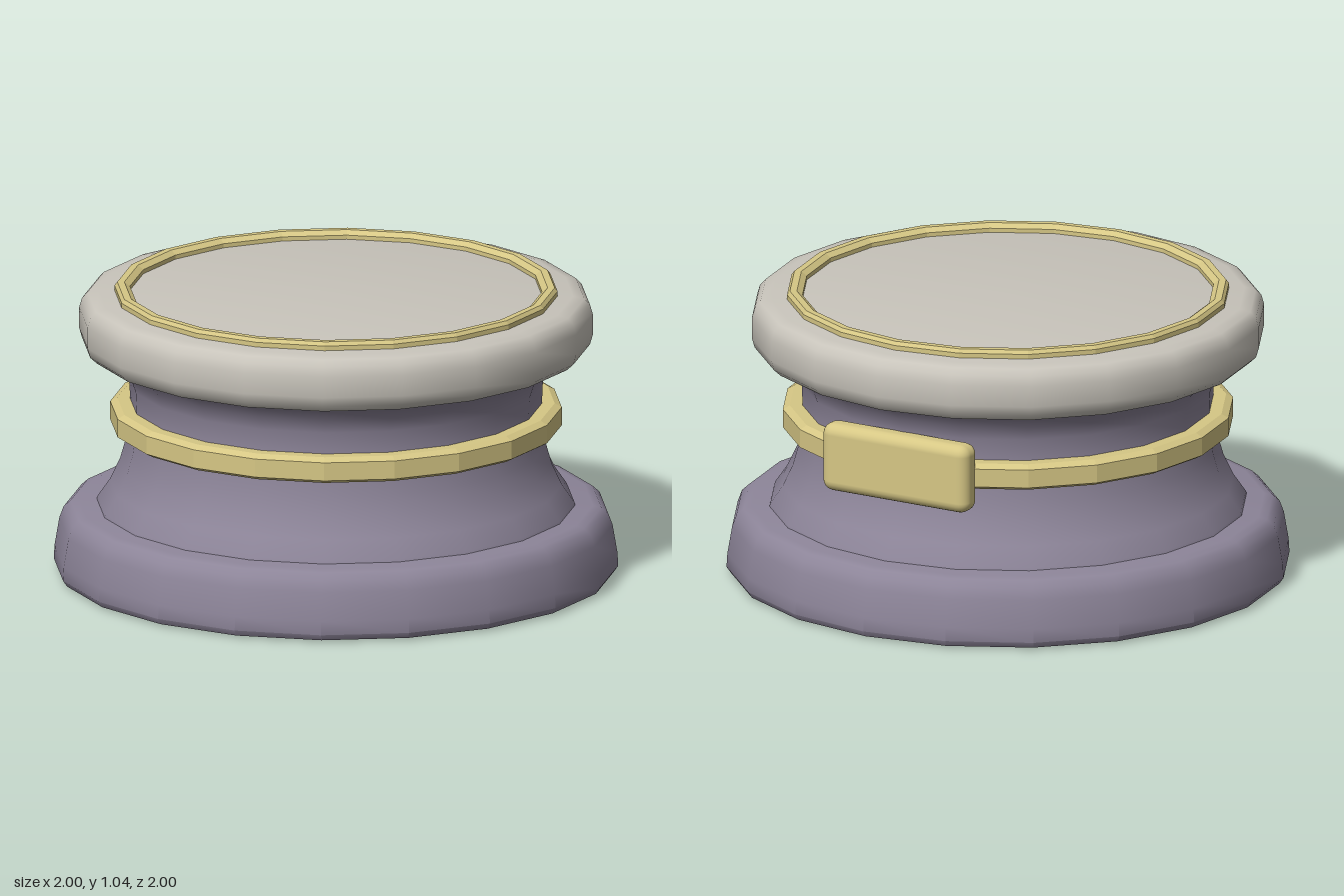
import * as THREE from 'three';
import { toCreasedNormals } from 'three/addons/utils/BufferGeometryUtils.js';
import { RoundedBoxGeometry } from 'three/addons/geometries/RoundedBoxGeometry.js';

const SIDES = 20;

export function createModel() {
  const group = new THREE.Group();
  const material = (name, color) => {
    const m = new THREE.MeshStandardMaterial({ color });
    m.name = name;
    return m;
  };
  const purple = material('dusty purple', 0x8d8599);
  const cream = material('warm grey', 0xc8c4bb);
  const gold = material('pale gold', 0xd6c785);

  const add = (name, geometry, mat) => {
    const mesh = new THREE.Mesh(geometry, mat);
    mesh.name = name;
    group.add(mesh);
    return mesh;
  };

  // Twenty-sided turned part from [radius, height] points, bottom to top
  const turned = (name, points, mat, crease = 0.7) => {
    const profile = points.map(([r, y]) => new THREE.Vector2(r, y));
    add(name, toCreasedNormals(new THREE.LatheGeometry(profile, SIDES), crease), mat);
  };

  // Foot with softened edges
  turned('base', [
    [0, 0], [0.95, 0], [0.985, 0.008], [1, 0.03], [0.997, 0.08], [0.98, 0.18],
    [0.965, 0.22], [0.94, 0.243], [0.91, 0.25], [0, 0.25],
  ], purple);

  // Concave waist
  turned('waist', [
    [0.85, 0.24], [0.845, 0.26], [0.80, 0.325], [0.765, 0.4], [0.745, 0.47],
    [0.733, 0.55], [0.73, 0.63], [0.733, 0.7], [0.75, 0.75], [0.785, 0.79], [0.83, 0.82],
  ], purple);

  // Rounded top slab
  turned('topSlab', [
    [0, 0.81], [0.83, 0.81], [0.875, 0.817], [0.9, 0.84], [0.91, 0.875], [0.91, 0.95],
    [0.9, 0.985], [0.88, 1.007], [0.84, 1.015], [0, 1.015],
  ], cream);

  // Faceted rings on the top and round the waist
  turned('topRing', [
    [0.785, 1.0], [0.785, 1.032], [0.775, 1.045], [0.75, 1.045], [0.73, 1.03], [0.73, 1.0],
  ], gold, 0.1);
  turned('waistRing', [
    [0.71, 0.528], [0.775, 0.528], [0.8, 0.542], [0.8, 0.608], [0.775, 0.622], [0.71, 0.622],
  ], gold, 0.1);

  // Plate on the back
  add('backPlate', new RoundedBoxGeometry(0.6, 0.25, 0.1, 3, 0.04), gold)
    .position.set(0, 0.575, -0.75);

  return group;
}
